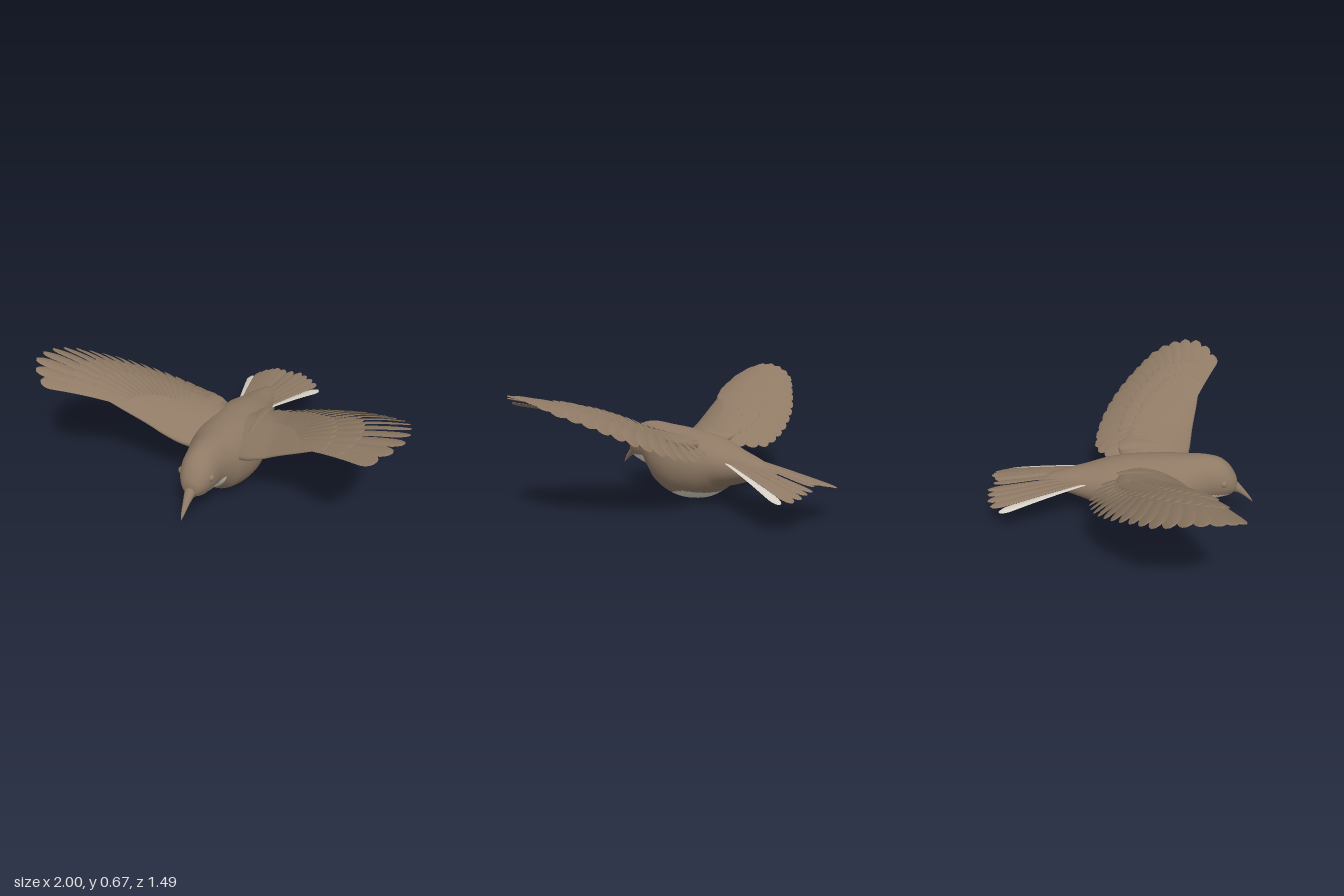
import * as THREE from 'three';

const brown = new THREE.MeshStandardMaterial({ color: 0x8f7a65, side: THREE.DoubleSide });
brown.name = 'brown plumage';
const pale = new THREE.MeshStandardMaterial({ color: 0xd6d0c4, side: THREE.DoubleSide });
pale.name = 'pale plumage';

// Grid surface from fn(u, v); wrap closes it in v, isPale picks the second material
function surface(n, m, fn, { wrap = false, flip = false, isPale = null } = {}) {
  const pos = [], main = [], light = [], cols = wrap ? m : m + 1;
  for (let i = 0; i <= n; i++) for (let j = 0; j < cols; j++) pos.push(...fn(i / n, j / m));
  for (let i = 0; i < n; i++) for (let j = 0; j < m; j++) {
    const k = (j + 1) % cols;
    const a = i * cols + j, b = i * cols + k, c = a + cols, d = b + cols;
    for (const t of flip ? [[a, b, c], [b, d, c]] : [[a, c, b], [b, c, d]]) {
      const mid = [0, 1, 2].map(q => (pos[t[0] * 3 + q] + pos[t[1] * 3 + q] + pos[t[2] * 3 + q]) / 3);
      (isPale && isPale(...mid) ? light : main).push(...t);
    }
  }
  const g = new THREE.BufferGeometry();
  g.setAttribute('position', new THREE.Float32BufferAttribute(pos, 3));
  g.setIndex([...main, ...light]);
  g.computeVertexNormals();
  if (isPale) {
    g.addGroup(0, main.length, 0);
    g.addGroup(main.length, light.length, 1);
  }
  return g;
}

// Smooth interpolation through rows of [a, b, c, d]
function track(rows) {
  const p = new THREE.CatmullRomCurve3(rows.map(r => new THREE.Vector3(r[0], r[1], r[2])), false, 'catmullrom');
  const q = new THREE.CatmullRomCurve3(rows.map(r => new THREE.Vector3(r[3], 0, 0)), false, 'catmullrom');
  return u => { const s = p.getPoint(u); return [s.x, s.y, s.z, Math.max(0, q.getPoint(u).x)]; };
}

// Elliptic tube along z from rows of [z, top, bottom, half width]
function tubeAlongZ(rows, n, m, isPale) {
  const at = track(rows);
  return surface(n, m, (u, v) => {
    const [z, top, bottom, w] = at(u), a = v * Math.PI * 2;
    return [w * Math.cos(a), (top + bottom) / 2 + (top - bottom) / 2 * Math.sin(a), z];
  }, { wrap: true, isPale });
}

function add(parent, name, geometry, material = brown) {
  const mesh = new THREE.Mesh(geometry, material);
  mesh.name = name;
  parent.add(mesh);
  return mesh;
}

// Blade from root to tip in plan, draped over height(x, z)
function feather(root, tip, width, height, lift, tilt, side) {
  const dx = tip[0] - root[0], dz = tip[1] - root[1], len = Math.hypot(dx, dz);
  return surface(16, 6, (u, v) => {
    const t = 1 - (1 - u) ** 1.5;
    const round = t > 0.84 ? Math.sqrt(Math.max(0, 1 - ((t - 0.84) / 0.16) ** 2)) : 1;
    const k = v - 0.5, w = width * (0.5 + 0.5 * t) * round * k;
    const x = root[0] + dx * t - dz / len * w, z = root[1] + dz * t + dx / len * w;
    return [side * x, height(x, z) + lift + tilt * k * round - 0.02 * k * k, z];
  }, { flip: side < 0 });
}

const wingHeight = (x, z) => 0.31 + 0.36 * x + 0.03 * Math.sin(Math.PI * Math.max(0, x - 0.3) / 0.7)
  - 1.1 * (z - 0.05 - 0.36 * x) ** 2;
const tailHeight = (x, z) => 0.325 + 0.135 * z - x * x;
const planCurve = pts => new THREE.CatmullRomCurve3(pts.map(p => new THREE.Vector3(p[0], 0, p[1])));

function makeWing(side) {
  const wing = new THREE.Group();
  wing.name = side > 0 ? 'leftWing' : 'rightWing';
  const count = 19;
  const tips = planCurve([[0.17, -0.1], [0.27, -0.155], [0.45, -0.14], [0.66, -0.05], [0.85, 0.1],
    [0.95, 0.2], [1, 0.37], [0.985, 0.48], [0.9, 0.56]]).getSpacedPoints(count - 1);
  const roots = planCurve([[0.16, 0.16], [0.3, 0.2], [0.42, 0.29], [0.5, 0.4]]).getSpacedPoints(count - 1);

  // Flight feathers, then two shorter covert rows above them
  for (const [name, reach, width, lift] of [['flightFeather', 1, 0.092, 0],
    ['greaterCovert', 0.6, 0.085, 0.012], ['lesserCovert', 0.36, 0.075, 0.022]]) {
    for (let i = 0; i < count; i++) {
      const r = roots[i], t = r.clone().lerp(tips[i], reach);
      add(wing, name, feather([r.x, r.z], [t.x, t.z], width, wingHeight, lift, 0.02, side));
    }
  }

  // Fleshy arm: [x, front z, back z, thickness]
  const arm = track([[0.08, 0.34, 0, 0.1], [0.2, 0.385, -0.02, 0.075], [0.35, 0.41, 0.02, 0.05],
    [0.5, 0.44, 0.14, 0.032], [0.64, 0.46, 0.3, 0.006]]);
  add(wing, 'wingArm', surface(24, 28, (u, v) => {
    const [x, front, back, th] = arm(u), a = v * Math.PI * 2;
    const z = (front + back) / 2 + (front - back) / 2 * Math.cos(a);
    return [side * x, wingHeight(x, z) + th * Math.sin(a) * (Math.sin(a) > 0 ? 0.4 : 0.8), z];
  }, { wrap: true, flip: side < 0 }));

  // Shoulder feather lying along the back
  add(wing, 'shoulderFeather', feather([0.15, 0.24], [0.145, -0.02], 0.08, wingHeight, 0.035, 0, side));
  return wing;
}

export function createModel() {
  const bird = new THREE.Group();
  bird.name = 'bird';

  // Head and body with pale throat and belly
  const bodyRows = [
    [0.648, 0.245, 0.225, 0], [0.638, 0.285, 0.19, 0.042], [0.6, 0.345, 0.165, 0.075],
    [0.545, 0.388, 0.15, 0.095], [0.47, 0.405, 0.13, 0.11], [0.4, 0.405, 0.08, 0.135],
    [0.345, 0.402, 0.04, 0.158], [0.25, 0.4, 0.01, 0.182], [0.15, 0.395, 0.002, 0.19],
    [0.025, 0.385, 0.025, 0.18], [-0.06, 0.37, 0.07, 0.16], [-0.115, 0.355, 0.11, 0.14],
    [-0.2, 0.33, 0.14, 0.11], [-0.3, 0.305, 0.175, 0.08], [-0.4, 0.275, 0.197, 0.045],
    [-0.46, 0.245, 0.215, 0]];
  const isPale = (x, y, z) =>
    (z > 0.445 && z < 0.635 && y < 0.19 + (0.63 - z) * 0.14) ||
    (y < 0.15 && (x / 0.14) ** 2 + ((z - 0.1) / 0.17) ** 2 < 1);
  add(bird, 'body', tubeAlongZ(bodyRows, 120, 72, isPale), [brown, pale]);

  // Down-curved beak
  add(bird, 'beak', tubeAlongZ([[0.746, 0.112, 0.108, 0], [0.725, 0.147, 0.125, 0.009],
    [0.69, 0.193, 0.152, 0.017], [0.65, 0.24, 0.176, 0.027], [0.61, 0.265, 0.18, 0.036]], 20, 20));

  for (const side of [1, -1]) {
    const eye = add(bird, 'eye', new THREE.SphereGeometry(0.02, 20, 14));
    eye.position.set(side * 0.08, 0.277, 0.565);
    bird.add(makeWing(side));

    // Fanned tail half, with the pale feather outermost
    const tail = new THREE.Group();
    tail.name = side > 0 ? 'leftTail' : 'rightTail';
    [[0.025, -0.715], [0.075, -0.74], [0.11, -0.735], [0.15, -0.73], [0.185, -0.71]].forEach((tip, i) =>
      add(tail, 'tailFeather', feather([0.01 + i * 0.015, -0.17], tip, 0.065, tailHeight, -i * 0.004, 0.012, side)));
    add(tail, 'outerTailFeather', feather([0.085, -0.17], [0.222, -0.66], 0.055, tailHeight, -0.018, 0.012, side), pale);
    bird.add(tail);
  }
  return bird;
}
